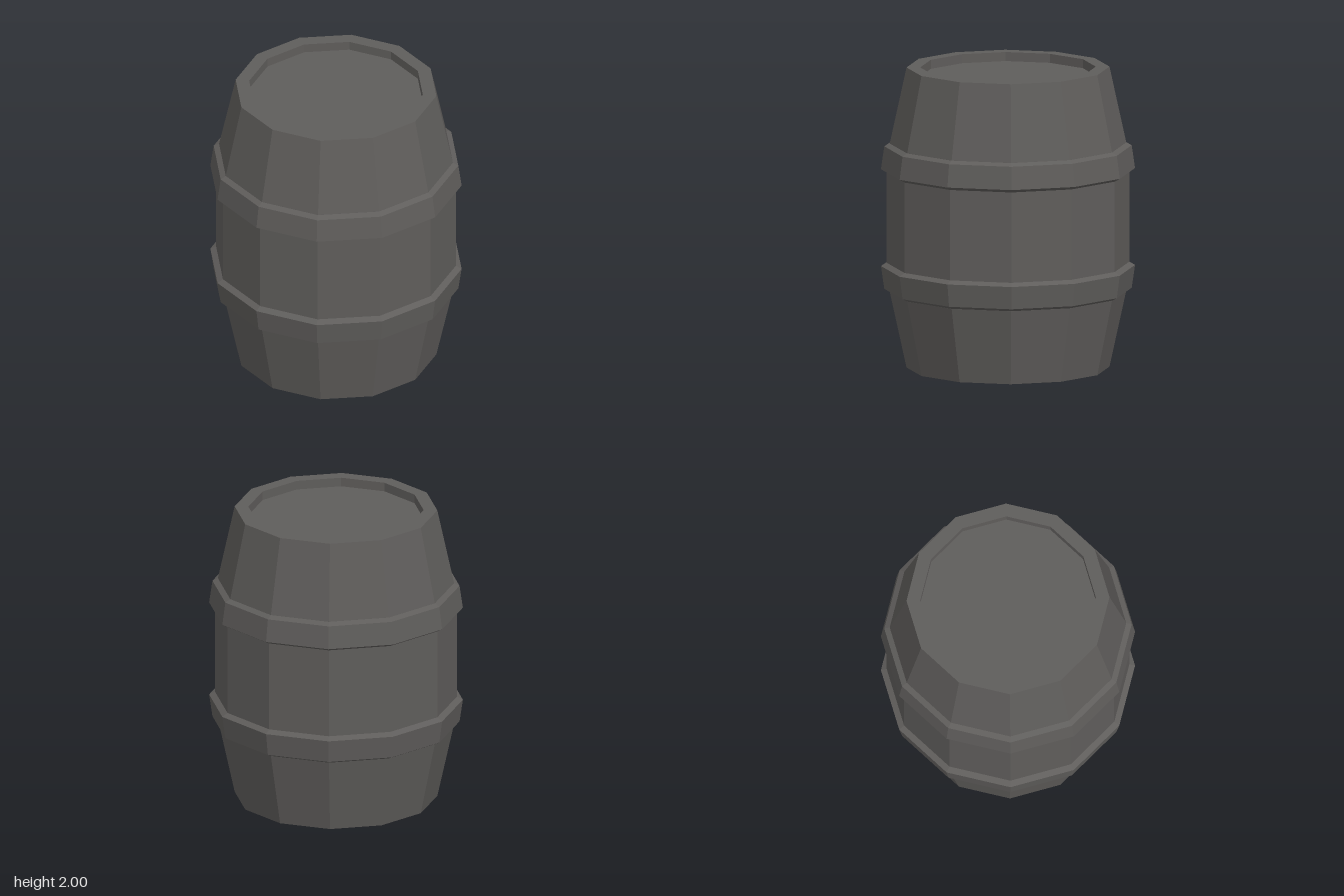
import * as THREE from 'three';

const SIDES = 12;

// Faceted solid of revolution from [radius, height] pairs
function turned(name, profile, material) {
  const points = profile.map(([r, y]) => new THREE.Vector2(r, y));
  const geometry = new THREE.LatheGeometry(points, SIDES).toNonIndexed();
  geometry.computeVertexNormals();
  const mesh = new THREE.Mesh(geometry, material);
  mesh.name = name;
  return mesh;
}

// Flat twelve-sided disc facing up (1) or down (-1)
function disc(name, radius, y, facing, material) {
  const geometry = new THREE.CircleGeometry(radius, SIDES);
  geometry.rotateX(-facing * Math.PI / 2);
  const mesh = new THREE.Mesh(geometry, material);
  mesh.name = name;
  mesh.position.y = y;
  return mesh;
}

export function createModel() {
  const barrel = new THREE.Group();
  barrel.name = 'barrel';
  const wood = new THREE.MeshStandardMaterial({ color: 0x5f5d5b });
  wood.name = 'dark grey';

  // Bulging staves, with a flat rim and recessed inner wall at the top
  barrel.add(turned('staves', [
    [0.667, 0], [0.777, 0.505], [0.797, 0.69], [0.797, 1.31],
    [0.777, 1.495], [0.667, 2], [0.577, 2], [0.577, 1.94],
  ], wood));

  // Lid and base
  barrel.add(disc('lid', 0.577, 1.94, 1, wood));
  barrel.add(disc('base', 0.667, 0, -1, wood));

  // Bevelled hoops, mirrored about the middle height
  const hoop = [[0.775, 0.505], [0.813, 0.525], [0.835, 0.677], [0.795, 0.7]];
  barrel.add(turned('lowerHoop', hoop, wood));
  barrel.add(turned('upperHoop', hoop.map(([r, y]) => [r, 2 - y]).reverse(), wood));

  return barrel;
}
